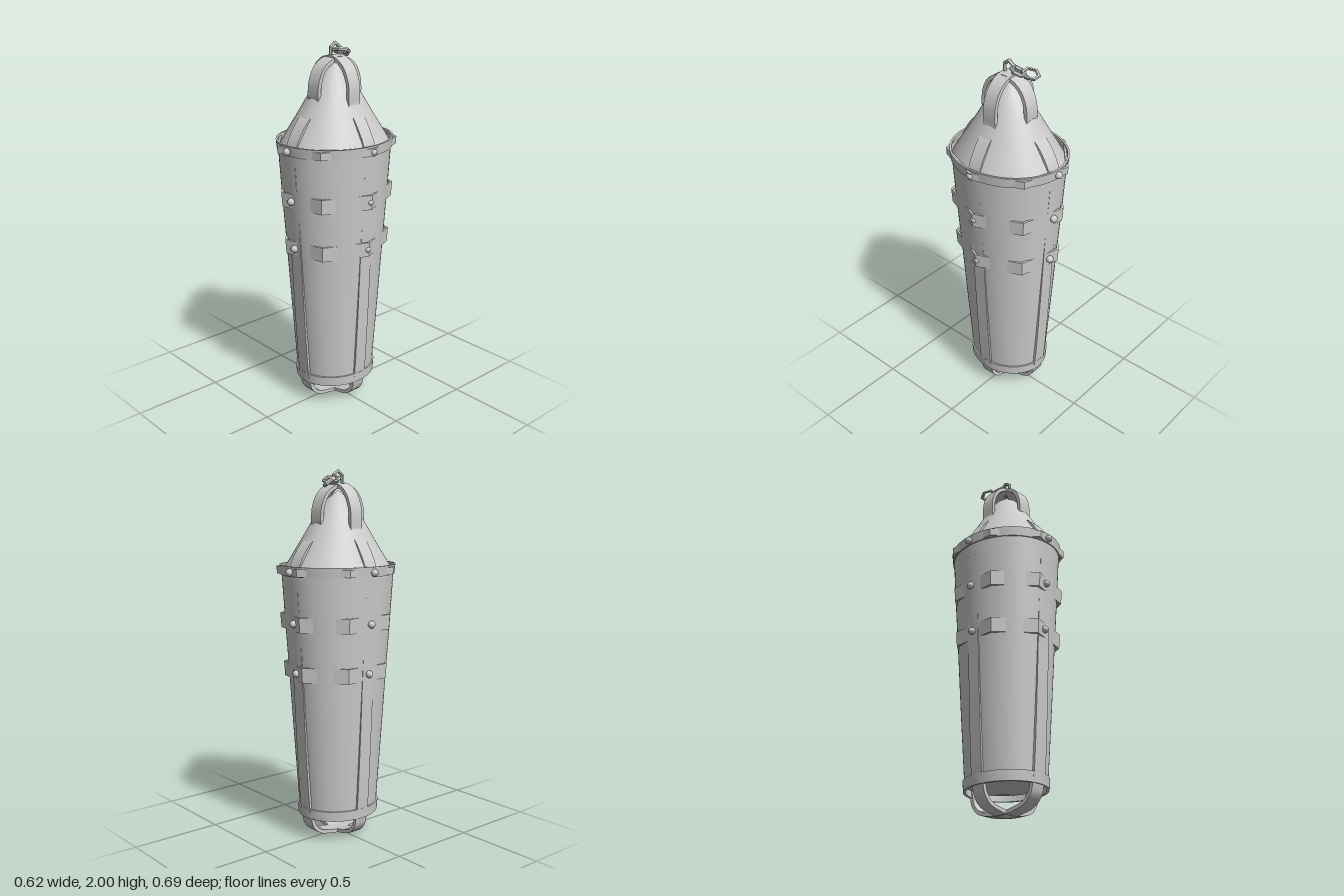
import * as THREE from 'three';
import { toCreasedNormals } from 'three/addons/utils/BufferGeometryUtils.js';

const DEPTH = 1.12; // the bag is a little deeper than wide
const material = new THREE.MeshStandardMaterial({ color: 0xcccccc, side: THREE.DoubleSide });

function add(group, name, geometry) {
  const mesh = new THREE.Mesh(geometry, material);
  mesh.name = name;
  group.add(mesh);
  return mesh;
}

// Elliptical turned surface from [radius, height] points
function turned(points, segments = 64, crease = 0.5) {
  const profile = points.map(([r, y]) => new THREE.Vector2(r, y));
  const geometry = new THREE.LatheGeometry(profile, segments, Math.PI / 2);
  geometry.scale(1, 1, DEPTH);
  return toCreasedNormals(geometry, crease);
}

// Hoop with a rectangular section
function hoop(bottom, top, rBottom, rTop, thickness, segments) {
  return turned([
    [rBottom - thickness, bottom], [rBottom, bottom], [rTop, top],
    [rTop - thickness, top], [rBottom - thickness, bottom],
  ], segments);
}

// Closed strap loop in the XY plane, given the outer edge of its right half
function strap(points, width, thickness) {
  const half = points.map(([x, y]) => new THREE.Vector3(x, y, 0));
  const other = points.slice(1, -1).reverse().map(([x, y]) => new THREE.Vector3(-x, y, 0));
  const curve = new THREE.CatmullRomCurve3([...half, ...other], true, 'centripetal');
  const outer = [], inner = [];
  const n = 120;
  for (let i = 0; i < n; i++) {
    const p = curve.getPoint(i / n), t = curve.getTangent(i / n);
    outer.push(new THREE.Vector2(p.x, p.y));
    inner.push(new THREE.Vector2(p.x - t.y * thickness, p.y + t.x * thickness));
  }
  const shape = new THREE.Shape(outer);
  shape.holes.push(new THREE.Path(inner));
  const geometry = new THREE.ExtrudeGeometry(shape, { depth: width, bevelEnabled: false });
  geometry.translate(0, 0, -width / 2);
  return toCreasedNormals(geometry, 0.6);
}

export function createModel() {
  const model = new THREE.Group();
  model.name = 'hangingBag';

  // Bag: shallow base, tapered side and pointed top
  add(model, 'bagBody', turned([
    [0, 0.135], [0.1, 0.142], [0.17, 0.155], [0.2, 0.17],
    [0.224, 0.55], [0.248, 0.95], [0.264, 1.2], [0.279, 1.46],
  ]));
  add(model, 'bagTop', turned([
    [0.279, 1.46], [0.25, 1.515], [0.19, 1.62], [0.135, 1.72],
    [0.1, 1.78], [0.06, 1.84], [0, 1.89],
  ]));

  // Round rims at the top and the bottom
  add(model, 'topRim', hoop(1.452, 1.505, 0.284, 0.289, 0.01, 64));
  add(model, 'bottomRim', hoop(0.13, 0.185, 0.205, 0.209, 0.014, 64));

  // Seven-sided bands, partly sunk in the side
  const bands = [
    ['upperBand', 1.455, 1.495, 0.303, 0.305],
    ['middleBand', 1.165, 1.245, 0.284, 0.289],
    ['lowerBand', 0.9, 0.98, 0.268, 0.273],
  ];
  for (const [name, bottom, top, r0, r1] of bands) {
    add(model, name, hoop(bottom, top, r0, r1, 0.012, 7));
  }

  // Rivets on the four sides of each band
  for (const [y, r] of [[1.475, 0.291], [1.205, 0.271], [0.94, 0.256]]) {
    for (let i = 0; i < 4; i++) {
      const a = i * Math.PI / 2;
      const rivet = add(model, 'rivet', new THREE.SphereGeometry(0.02, 14, 10));
      rivet.position.set(Math.cos(a) * r, y, Math.sin(a) * r * DEPTH);
    }
  }

  // Two crossing straps run under, along and over the bag
  const path = [
    [0, 0.004], [0.07, 0.012], [0.145, 0.035], [0.185, 0.08], [0.199, 0.135],
    [0.207, 0.18], [0.227, 0.5], [0.243, 0.85], [0.257, 1.15], [0.272, 1.43],
    [0.258, 1.51], [0.194, 1.62], [0.153, 1.67], [0.15, 1.75],
    [0.142, 1.81], [0.11, 1.875], [0.06, 1.915], [0, 1.93],
  ];
  const deepPath = path.map(([r, y]) => [y < 1.65 ? r * DEPTH : r, y - (y > 1.9 ? 0.004 : 0)]);
  add(model, 'sideStrap', strap(path, 0.076, 0.02));
  add(model, 'frontStrap', strap(deepPath, 0.08, 0.02)).rotation.y = Math.PI / 2;

  // Three angular chain links at the peak
  const links = [
    [[0, 1.948, 0], [0, Math.PI / 2, 0], 0.8],
    [[-0.008, 1.945, -0.05], [Math.PI / 2 - 0.3, 0.25, 0.5], 0.85],
    [[-0.047, 1.932, -0.098], [1.05, -0.45, -0.6], 0.72],
  ];
  for (const [position, rotation, narrow] of links) {
    const geometry = new THREE.TorusGeometry(0.041, 0.011, 6, 6);
    geometry.rotateZ(Math.PI / 2);
    geometry.scale(narrow, 1, 1);
    const link = add(model, 'chainLink', toCreasedNormals(geometry, 0.7));
    link.position.set(...position);
    link.rotation.set(...rotation);
  }
  return model;
}
